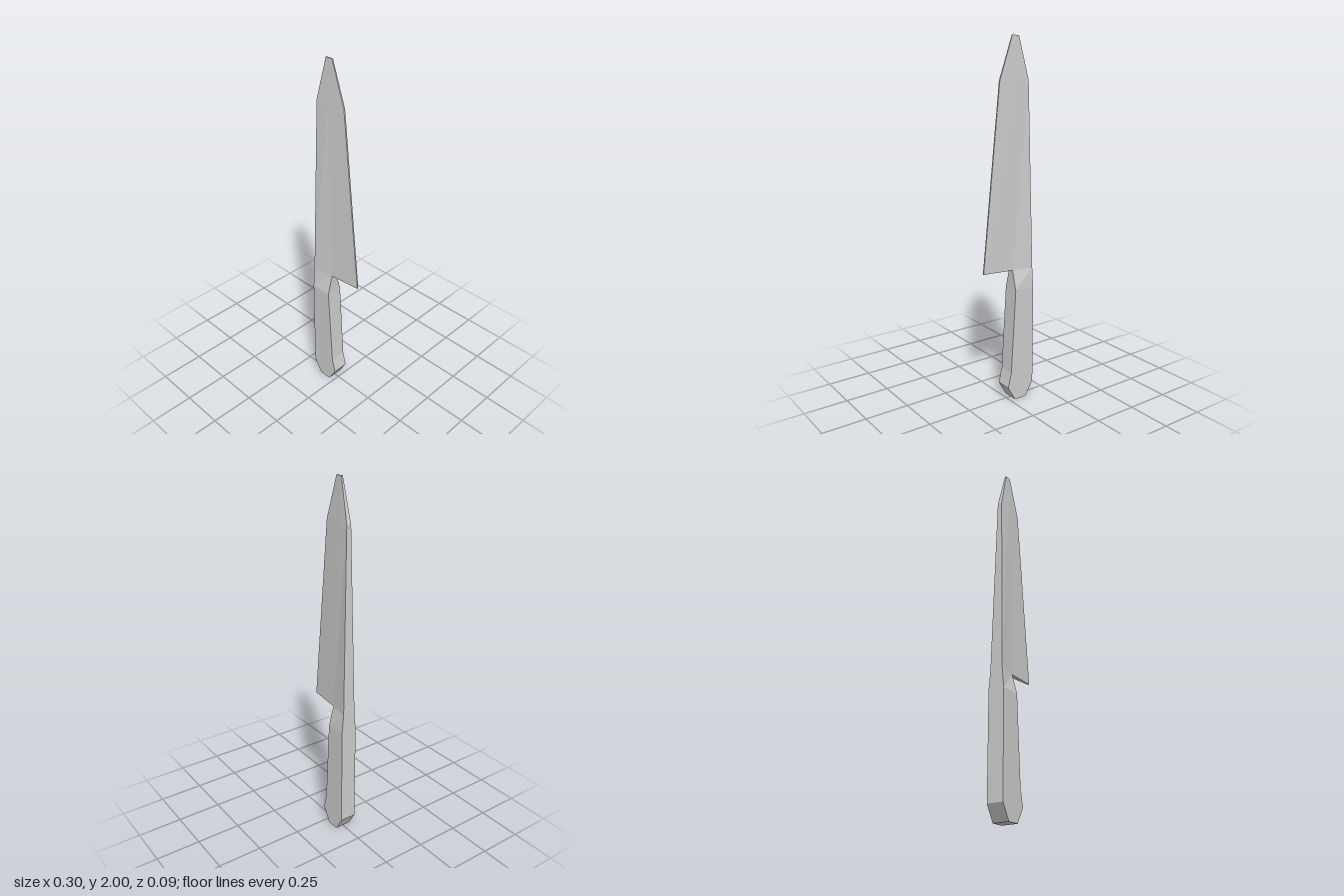
import * as THREE from 'three';

// Lofts upward through rows of [x, y, halfThickness] points, mirrored front to back.
// capTop / capBottom give the first column from which the end is closed.
function loft(name, rows, capBottom, capTop) {
  const pos = [];
  const F = ([x, y, t]) => [x, y, t];
  const B = ([x, y, t]) => [x, y, -t];
  const quad = (a, b, c, d) => pos.push(...a, ...b, ...c, ...a, ...c, ...d);
  const n = rows[0].length - 1;

  for (let i = 0; i < rows.length - 1; i++) {
    const lo = rows[i], hi = rows[i + 1];
    for (let j = 0; j < n; j++) {
      quad(F(lo[j]), F(lo[j + 1]), F(hi[j + 1]), F(hi[j]));
      quad(B(lo[j + 1]), B(lo[j]), B(hi[j]), B(hi[j + 1]));
    }
    quad(F(lo[n]), B(lo[n]), B(hi[n]), F(hi[n]));
    quad(B(lo[0]), F(lo[0]), F(hi[0]), B(hi[0]));
  }
  const bottom = rows[0], top = rows[rows.length - 1];
  for (let j = capBottom; j < n; j++) {
    quad(B(bottom[j]), B(bottom[j + 1]), F(bottom[j + 1]), F(bottom[j]));
  }
  for (let j = capTop; j < n; j++) {
    quad(F(top[j]), F(top[j + 1]), B(top[j + 1]), B(top[j]));
  }

  const geometry = new THREE.BufferGeometry();
  geometry.setAttribute('position', new THREE.Float32BufferAttribute(pos, 3));
  geometry.computeVertexNormals();
  const mesh = new THREE.Mesh(geometry, new THREE.MeshStandardMaterial({ color: 0xcccccc, flatShading: true }));
  mesh.name = name;
  return mesh;
}

export function createModel() {
  const group = new THREE.Group();
  group.name = 'knife';

  // Both parts share the seam where the handle narrows into the blade
  const spineSeam = [-0.152, 0.76, 0.036];
  const heelSeam = [-0.032, 0.76, 0.016];

  // Handle with a bevelled butt, tapering into the blade; open at the seam
  const h = 0.046;
  group.add(loft('handle', [
    [[-0.103, 0, h], [-0.03, 0, h]],
    [[-0.152, 0.083, h], [0.018, 0.083, h]],
    [[-0.152, 0.17, h], [-0.003, 0.17, h]],
    [[-0.152, 0.65, h], [-0.032, 0.65, h]],
    [spineSeam, heelSeam],
  ], 0, 1));

  // Blade: spine, middle ridge and cutting edge; only the heel is closed below
  group.add(loft('blade', [
    [spineSeam, heelSeam, [0.15, 0.766, 0.004]],
    [[-0.135, 1.775, 0.013], [-0.063, 1.775, 0.011], [0.042, 1.775, 0.004]],
    [[-0.078, 2, 0.004], [-0.06, 2, 0.004], [-0.037, 2, 0.003]],
  ], 1, 0));

  return group;
}
